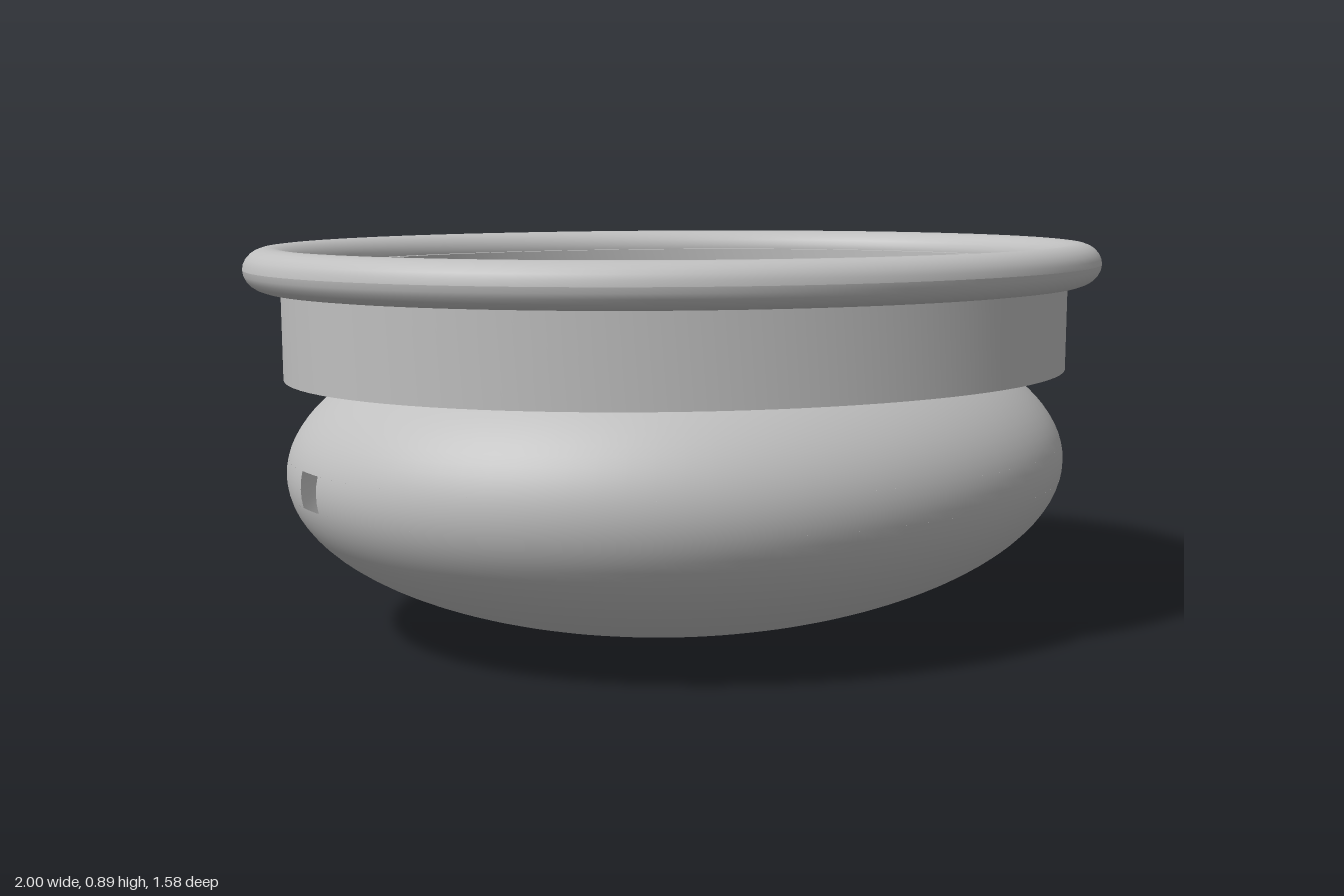
import * as THREE from 'three';
import { toCreasedNormals } from 'three/addons/utils/BufferGeometryUtils.js';

const DEPTH = 0.79; // every part is an oval: round in plan, then narrowed in z
const SEGMENTS = 96;

export function createModel() {
  const group = new THREE.Group();
  group.name = 'ovalBasin';
  const grey = new THREE.MeshStandardMaterial({ color: 0xbfbfbf, side: THREE.DoubleSide });
  grey.name = 'grey';

  const add = (name, geometry, parent = group) => {
    const mesh = new THREE.Mesh(geometry, grey);
    mesh.name = name;
    parent.add(mesh);
    return mesh;
  };

  // Squashed round body, made of three bands so the middle one can leave a small port open
  const body = new THREE.Group();
  body.name = 'body';
  body.position.y = 0.39;
  body.scale.set(0.92, 0.385, 0.735);
  group.add(body);
  const portTop = 1.466, portBottom = 1.675, portStart = 0.17, portEnd = 0.28;
  const band = (name, phi, phiLength, theta, thetaEnd, rows) =>
    add(name, new THREE.SphereGeometry(1, SEGMENTS, rows, phi, phiLength, theta, thetaEnd - theta), body);
  band('upperBody', 0, Math.PI * 2, 0.6, portTop, 16);
  band('middleBody', portEnd, Math.PI * 2 - (portEnd - portStart), portTop, portBottom, 4);
  band('lowerBody', 0, Math.PI * 2, portBottom, Math.PI, 24);

  // Upright collar with an inner lip and a recessed deck
  const profile = [
    [0, 0.605], [0.92, 0.605], [0.92, 0.85], [0.86, 0.85], [0.86, 0.80], [0, 0.80],
  ].map(([x, y]) => new THREE.Vector2(x, y));
  const collar = toCreasedNormals(new THREE.LatheGeometry(profile, SEGMENTS).scale(1, 1, DEPTH), 0.6);
  add('collarAndDeck', collar);

  // Rounded rim around the top
  const rimProfile = [];
  for (let i = 0; i <= 24; i++) {
    const a = (i / 24) * Math.PI * 2;
    rimProfile.push(new THREE.Vector2(0.943 + 0.057 * Math.cos(a), 0.85 + 0.048 * Math.sin(a)));
  }
  add('rim', new THREE.LatheGeometry(rimProfile, SEGMENTS).scale(1, 1, DEPTH));

  return group;
}
